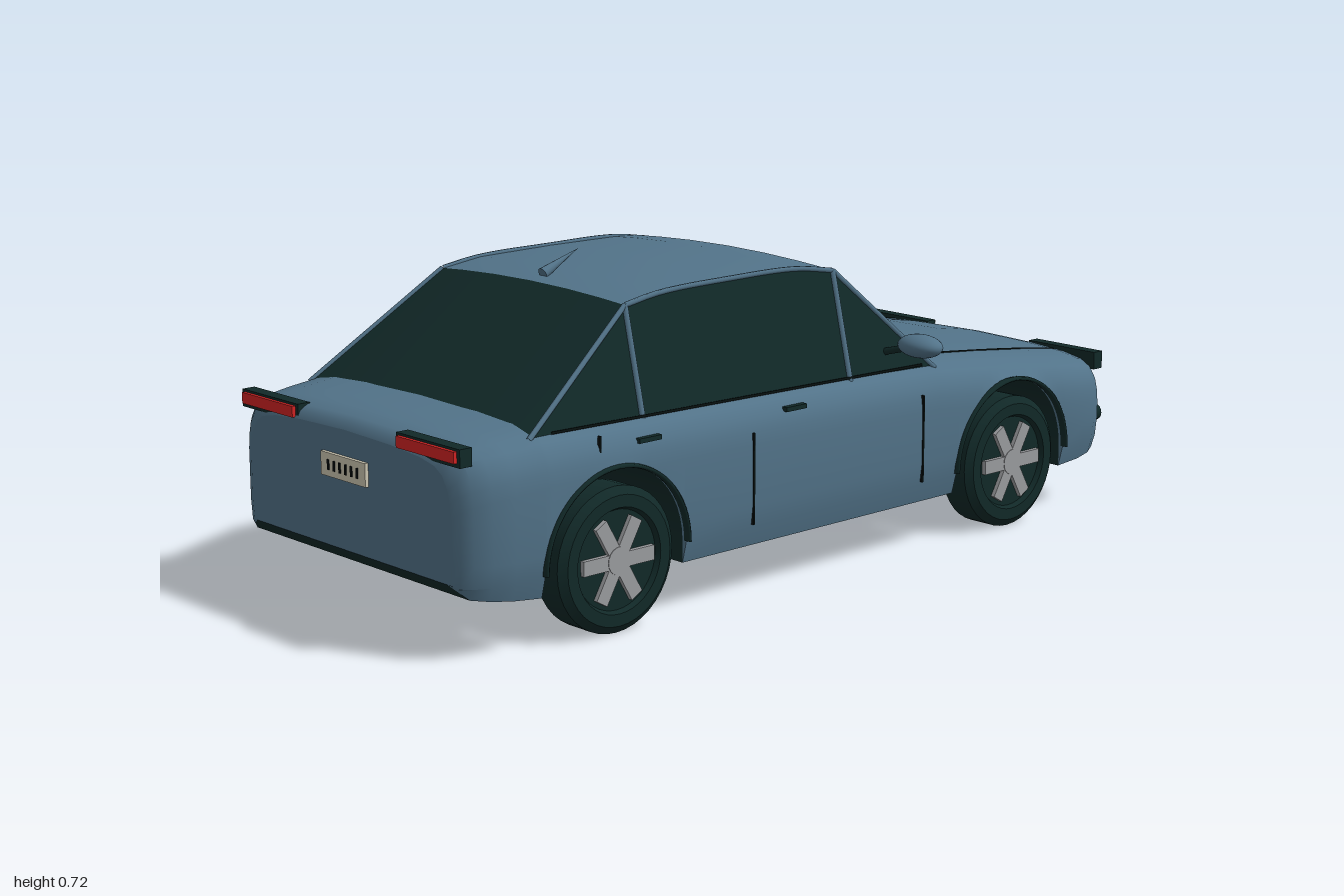
import * as THREE from 'three';
import { toCreasedNormals } from 'three/addons/utils/BufferGeometryUtils.js';

const mat = (name, color, side = THREE.FrontSide) => {
  const m = new THREE.MeshStandardMaterial({ color, side });
  m.name = name;
  return m;
};

// piecewise-linear lookup in [[key, value], ...]
function lookup(table, k) {
  if (k <= table[0][0]) return table[0][1];
  for (let i = 1; i < table.length; i++) {
    const [k0, v0] = table[i - 1], [k1, v1] = table[i];
    if (k <= k1) return v0 + (v1 - v0) * (k - k0) / (k1 - k0);
  }
  return table[table.length - 1][1];
}

// skin over rows of [x, y, z] points
function loft(rows, crease = 0.6) {
  const pos = [], V = (p) => new THREE.Vector3(...p);
  const tri = (a, b, c) => {
    const area = V(b).sub(V(a)).cross(V(c).sub(V(a))).length();
    if (area > 1e-9) pos.push(...a, ...b, ...c);
  };
  for (let i = 0; i + 1 < rows.length; i++) {
    for (let j = 0; j + 1 < rows[i].length; j++) {
      const a = rows[i][j], b = rows[i][j + 1], c = rows[i + 1][j + 1], d = rows[i + 1][j];
      tri(a, d, c);
      tri(a, c, b);
    }
  }
  const g = new THREE.BufferGeometry();
  g.setAttribute('position', new THREE.Float32BufferAttribute(pos, 3));
  return toCreasedNormals(g, crease);
}

// body outline tables along z: half width, top height, bottom height
const WIDTH = [[-0.98, 0.345], [-0.972, 0.365], [-0.955, 0.385], [-0.92, 0.403], [-0.87, 0.414], [-0.8, 0.42],
  [0.8, 0.42], [0.88, 0.414], [0.93, 0.403], [0.965, 0.385], [0.982, 0.365], [0.99, 0.345]];
const TOP = [[-0.98, 0.335], [-0.972, 0.35], [-0.955, 0.358], [-0.92, 0.366], [-0.8, 0.386], [-0.6, 0.412],
  [-0.35, 0.438], [0.1, 0.45], [0.8, 0.46], [0.93, 0.448], [0.965, 0.44], [0.982, 0.43], [0.99, 0.415]];
const BOTTOM = [[-0.98, 0.15], [-0.965, 0.125], [-0.9, 0.115], [-0.8, 0.11], [0.8, 0.11], [0.9, 0.12], [0.97, 0.132], [0.99, 0.16]];
// shoulder shape: fraction of half width, drop below the top
const SHOULDER = [[0, 0], [0.45, 0.004], [0.72, 0.011], [0.86, 0.021], [0.93, 0.036], [0.975, 0.063], [0.993, 0.09], [1, 0.12]];
const AXLES = [-0.6, 0.62];

function section(z, bottom) {
  const w = lookup(WIDTH, z), t = lookup(TOP, z);
  const half = SHOULDER.map(([u, drop]) => [u * w, t - drop]);
  half.push([w, 0.2], [0.987 * w, 0.155], [0.96 * w, 0.11]);
  const pts = half.map(([x, y]) => [x, Math.max(y, bottom), z]);
  return [...pts.slice(1).reverse().map(([x, y]) => [-x, y, z]), ...pts];
}
const bodyY = (x, z) => lookup(TOP, z) - lookup(SHOULDER, Math.abs(x) / lookup(WIDTH, z));

export function createModel() {
  const car = new THREE.Group();
  car.name = 'car';
  const paint = mat('body paint', 0x527389);
  const dark = mat('dark glass and rubber', 0x112928, THREE.DoubleSide);
  const black = mat('black seams', 0x07100f);
  const red = mat('red lamp', 0xd42424);
  const cream = mat('cream lamp and plate', 0xcfc9b4);
  const grey = mat('wheel grey', 0x9b9da0);

  const add = (name, geo, material, p = [0, 0, 0], parent = car) => {
    const m = new THREE.Mesh(geo, material);
    m.name = name;
    m.position.set(...p);
    parent.add(m);
    return m;
  };
  const box = (name, size, p, material, parent) => add(name, new THREE.BoxGeometry(...size), material, p, parent);
  const tube = (name, pts, r, material) => {
    const curve = new THREE.CatmullRomCurve3(pts.map((p) => new THREE.Vector3(...p)));
    return add(name, new THREE.TubeGeometry(curve, pts.length > 2 ? 20 : 1, r, 6), material);
  };

  // body shell stations, with wheel arches cut right across
  const stations = [];
  const plain = (...zs) => zs.forEach((z) => stations.push([z, lookup(BOTTOM, z)]));
  const arch = (zc) => {
    plain(zc - 0.19);
    for (let i = 0; i <= 24; i++) {
      const a = Math.PI * (1 - i / 24);
      stations.push([zc + 0.19 * Math.cos(a), 0.16 + 0.19 * Math.sin(a)]);
    }
    plain(zc + 0.19);
  };
  plain(-0.98, -0.972, -0.955, -0.92, -0.87);
  arch(AXLES[0]);
  plain(-0.35, -0.1, 0.1, 0.3);
  arch(AXLES[1]);
  plain(0.88, 0.93, 0.965, 0.982, 0.99);
  const rings = stations.map(([z, b]) => section(z, b));
  const last = rings[0].length - 1, mid = last / 2;
  add('bodyShell', loft(rings), paint);
  add('underbody', loft(rings.map((r) => [r[last], r[0]])), dark);
  const cap = (ring, s) => {
    const rows = [];
    for (let j = 0; j <= mid; j++) rows.push([ring[mid - s * j], ring[mid + s * j]]);
    return loft(rows);
  };
  add('nosePanel', cap(rings[0], -1), paint);
  add('tailPanel', cap(rings[rings.length - 1], 1), paint);

  // cabin: crowned roof and screens, flat side glass
  const row = (z, y, w, crown) => [-1, -0.75, -0.4, 0, 0.4, 0.75, 1].map((u) => [u * w, y + crown * (1 - u * u), z]);
  const roofFront = row(-0.11, 0.652, 0.305, 0.012), roofRear = row(0.5, 0.652, 0.305, 0.012);
  add('roof', loft([roofFront, row(-0.08, 0.662, 0.304, 0.012), row(0, 0.668, 0.301, 0.012), row(0.2, 0.67, 0.298, 0.012),
    row(0.4, 0.666, 0.302, 0.012), roofRear]), paint);
  add('windscreen', loft([row(-0.375, 0.405, 0.374, 0.02), roofFront]), dark);
  add('rearScreen', loft([roofRear, row(0.815, 0.43, 0.374, 0.02)]), dark);

  for (const s of [1, -1]) {
    const side = s > 0 ? 'left' : 'right';
    const A = [s * 0.374, 0.405, -0.375], B = [s * 0.305, 0.652, -0.11];
    const C = [s * 0.305, 0.652, 0.5], D = [s * 0.374, 0.43, 0.815];
    const top = [B, [s * 0.301, 0.668, 0], [s * 0.298, 0.67, 0.2], [s * 0.302, 0.666, 0.4], C];
    const low = top.map((p) => [s * 0.374, 0.405, p[2]]);
    add(side + 'SideGlass', loft([[A, ...low, D], [A, ...top, D]]), dark);
    tube(side + 'WindscreenPillar', [A, B], 0.006, paint);
    tube(side + 'RearPillar', [C, D], 0.006, paint);
    tube(side + 'RoofRail', top, 0.006, paint);
    tube(side + 'FrontDoorPillar', [B, [s * 0.374, 0.41, -0.1]], 0.007, paint);
    tube(side + 'BackDoorPillar', [C, [s * 0.374, 0.41, 0.51]], 0.007, paint);

    // door seams, handles, fuel flap and belt line
    for (const z of [-0.29, 0.24]) box(side + 'DoorSeam', [0.008, 0.2, 0.005], [s * 0.418, 0.26, z], black);
    for (const z of [0.11, 0.53]) box(side + 'DoorHandle', [0.014, 0.01, 0.06], [s * 0.411, 0.394, z], dark);
    box(side + 'FuelFlapSeam', [0.008, 0.04, 0.004], [s * 0.408, 0.4, 0.66], black);
    tube(side + 'BeltTrim', [[s * 0.375, 0.418, -0.33], [s * 0.375, 0.427, 0.2], [s * 0.376, 0.436, 0.76]], 0.003, black);
    const seam = [[0.302, -0.37], [0.298, -0.55], [0.286, -0.75], [0.264, -0.93]];
    tube(side + 'HoodSeam', seam.map(([x, z]) => [s * x, bodyY(x, z), z]), 0.003, black);

    // mirror on a short arm
    tube(side + 'MirrorArm', [[s * 0.355, 0.46, -0.23], [s * 0.42, 0.478, -0.23]], 0.009, dark);
    const mirror = add(side + 'Mirror', new THREE.SphereGeometry(1, 24, 16), paint, [s * 0.461, 0.488, -0.23]);
    mirror.scale.set(0.058, 0.026, 0.04);

    // lamps
    box(side + 'TailLampHousing', [0.205, 0.038, 0.03], [s * 0.272, 0.421, 0.972], dark);
    box(side + 'TailLamp', [0.186, 0.024, 0.01], [s * 0.272, 0.423, 0.99], red);
    box(side + 'HeadlampHousing', [0.205, 0.042, 0.03], [s * 0.272, 0.338, -0.965], dark);
    box(side + 'Headlamp', [0.19, 0.03, 0.01], [s * 0.272, 0.34, -0.984], cream);
    const fog = add(side + 'FogLamp', new THREE.CylinderGeometry(0.021, 0.021, 0.03, 16), dark, [s * 0.355, 0.205, -0.968]);
    fog.rotation.x = Math.PI / 2;

    // wheels and arch lips
    for (const z of AXLES) {
      const wheel = new THREE.Group();
      wheel.name = side + (z < 0 ? 'Front' : 'Rear') + 'Wheel';
      wheel.position.set(s * 0.375, 0.155, z);
      wheel.rotation.z = -s * Math.PI / 2;
      car.add(wheel);
      const profile = [[0, -0.042], [0.11, -0.042], [0.115, -0.048], [0.138, -0.048], [0.155, -0.034], [0.155, 0.034],
        [0.138, 0.047], [0.112, 0.047], [0.106, 0.036], [0, 0.036]];
      const tyre = new THREE.LatheGeometry(profile.map((p) => new THREE.Vector2(...p)), 40);
      add('tyre', toCreasedNormals(tyre, 0.4), dark, [0, 0, 0], wheel);
      for (let i = 0; i < 3; i++) {
        const spoke = box('spokePair', [0.032, 0.01, 0.19], [0, 0.041, 0], grey, wheel);
        spoke.rotation.y = i * Math.PI / 3;
      }
      add('hub', new THREE.CylinderGeometry(0.03, 0.032, 0.012, 20), grey, [0, 0.041, 0], wheel);
      const lip = add(side + 'ArchLip', new THREE.TorusGeometry(0.192, 0.005, 8, 32, Math.PI), dark, [s * 0.418, 0.16, z]);
      lip.rotation.y = Math.PI / 2;
      lip.scale.z = 2.2;
    }
  }

  // number plates with plain tick marks
  for (const [name, y, z, s] of [['rearPlate', 0.335, 0.992, 1], ['frontPlate', 0.305, -0.987, -1]]) {
    box(name, [0.154, 0.05, 0.012], [0, y, z], cream);
    for (const x of [-0.05, -0.03, -0.01, 0.01, 0.03, 0.05]) {
      box(name + 'Mark', [0.006, 0.022, 0.004], [x, y, z + s * 0.006], black);
    }
  }

  // lower grille
  box('grille', [0.27, 0.06, 0.014], [0, 0.225, -0.979], black);
  for (let i = 0; i < 4; i++) box('grilleBar', [0.255, 0.004, 0.006], [0, 0.204 + i * 0.014, -0.985], grey);

  // wipers lying on the windscreen
  for (const x of [-0.23, 0.09]) tube('wiper', [[x, 0.586, -0.207], [x + 0.063, 0.489, -0.308]], 0.004, black);

  // roof aerial leaning towards the nose
  const base = new THREE.Vector3(0, 0.674, 0.465), tip = new THREE.Vector3(0, 0.718, 0.365);
  const dir = tip.clone().sub(base);
  const fin = add('roofAerial', new THREE.ConeGeometry(0.013, dir.length(), 12), paint, base.clone().add(tip).multiplyScalar(0.5).toArray());
  fin.quaternion.setFromUnitVectors(new THREE.Vector3(0, 1, 0), dir.normalize());

  return car;
}
